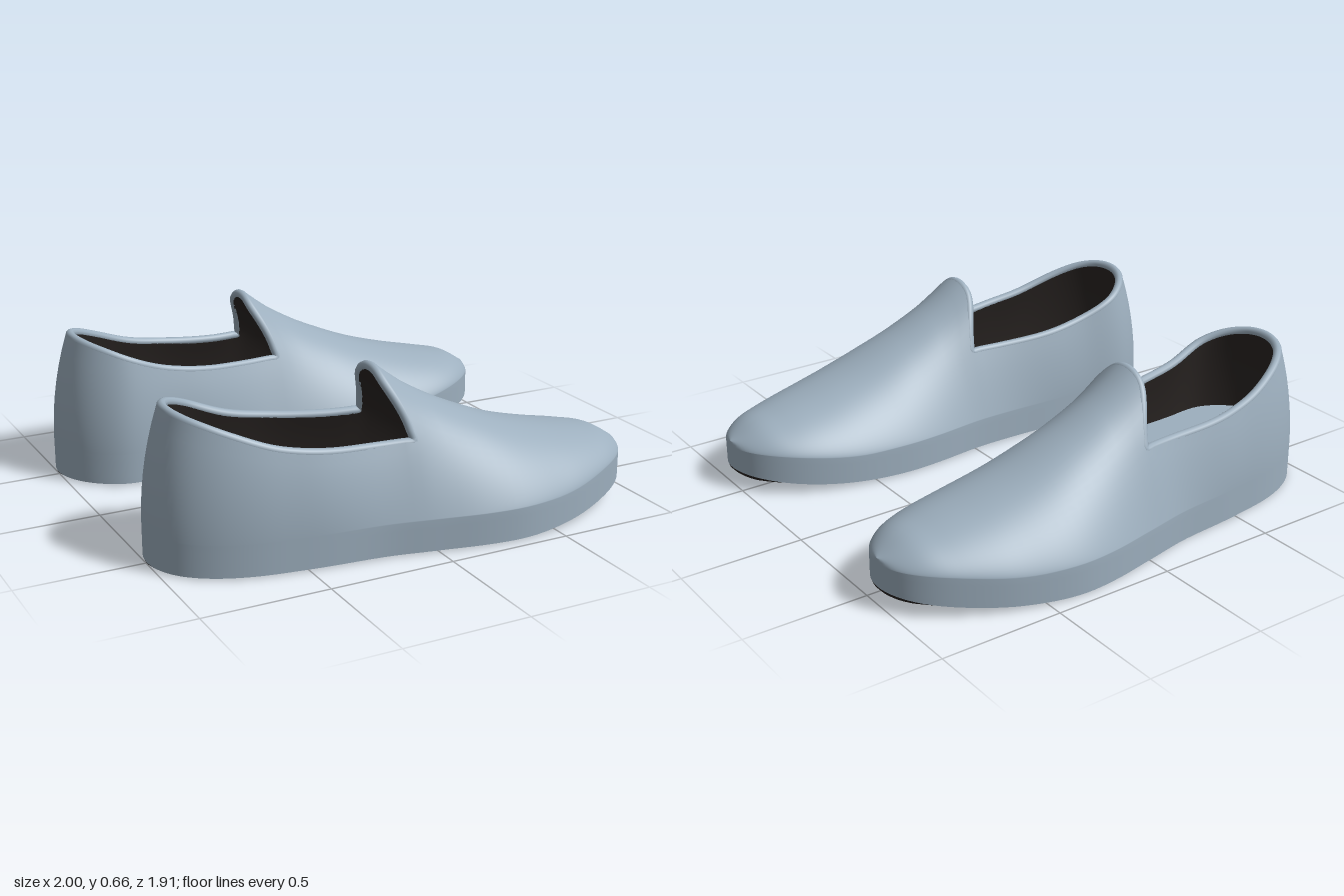
import * as THREE from 'three';

const N = 36;          // stations in the heel and in the vamp
const M = 24;          // rows from sole edge to ridge
const WALL = 4;        // rows in the vertical sole wall
const K = 14;          // row that ends at the opening
const X0 = -0.05;      // station where opening meets vamp
const THICK = 0.034;

const { lerp, smoothstep } = THREE.MathUtils;

// Smooth curve through [x, value] pairs
function curve(pts) {
  const slope = (i) => {
    const a = pts[Math.max(i - 1, 0)], b = pts[Math.min(i + 1, pts.length - 1)];
    return (b[1] - a[1]) / (b[0] - a[0]);
  };
  return (x) => {
    let i = 0;
    while (i < pts.length - 2 && x > pts[i + 1][0]) i++;
    const [xa, ya] = pts[i], [xb, yb] = pts[i + 1];
    const d = xb - xa, t = (x - xa) / d, t2 = t * t, t3 = t2 * t;
    return (2 * t3 - 3 * t2 + 1) * ya + (t3 - 2 * t2 + t) * d * slope(i)
      + (3 * t2 - 2 * t3) * yb + (t3 - t2) * d * slope(i + 1);
  };
}

// Footprint centre line, fullness, ridge height and opening height
const centre = curve([[-1, 0.51], [-0.8, 0.508], [-0.6, 0.535], [-0.2, 0.565], [0, 0.585],
  [0.35, 0.5975], [0.6, 0.5875], [0.8, 0.578], [1, 0.58]]);
const fullness = curve([[-1, 0.49], [-0.9, 0.459], [-0.8, 0.43], [-0.6, 0.356], [-0.4, 0.322],
  [-0.2, 0.306], [0, 0.32], [0.2, 0.357], [0.35, 0.382], [0.6, 0.403], [0.8, 0.4125], [1, 0.432]]);
const ridge = curve([[-0.05, 0.66], [0.03, 0.585], [0.1, 0.535], [0.2, 0.475], [0.4, 0.385],
  [0.6, 0.325], [0.8, 0.28], [0.9, 0.255], [1, 0.195]]);
const opening = curve([[-1, 0.582], [-0.9, 0.553], [-0.8, 0.52], [-0.6, 0.455], [-0.4, 0.423],
  [-0.2, 0.41], [-0.05, 0.41]]);
const halfWidth = (x) => fullness(x) * Math.sqrt(Math.max(0, 1 - x * x));
const soleEdge = (x) => 0.006 + 0.07 * Math.max(0, (x - 0.3) / 0.7) ** 2;
const wallTop = (x) => 0.13 + 0.045 * smoothstep(x, 0.5, 1);

const stations = [];
for (let i = 0; i <= N; i++) stations.push(-1 + (X0 + 1) * (1 - Math.cos((i / N) * Math.PI / 2)));
for (let i = 1; i <= N; i++) stations.push(X0 + (1 - X0) * Math.sin((i / N) * Math.PI / 2));
stations[2 * N] = 1;

// Point of the upper at station i, row j (inner edge, over the top, outer edge)
function upperPoint(i, j) {
  const side = j <= M ? -1 : 1;
  const row = j <= M ? j : 2 * M - j;
  const x = stations[i], base = wallTop(x);
  let p = 1, y, shift = 0;
  if (row <= WALL) {
    y = lerp(soleEdge(x), base, row / WALL);
  } else {
    const v = (row - WALL) / (M - WALL);
    p = row === M ? 0 : Math.cos(v * Math.PI / 2);
    const h = 1 - p ** 2.2;
    if (i < N) {
      const t = h / (1 - Math.SQRT1_2 ** 2.2);
      y = base + (opening(x) - base) * t;
      p = lerp(1 - 0.15 * t * t, p, smoothstep(x, -0.5, X0));
      shift = 0.075 * t * t * ((X0 - x) / (1 + X0)) ** 3;
    } else {
      y = base + (ridge(x) - base) * h ** lerp(1, 0.75, smoothstep(x, 0, 0.8));
      shift = -0.06 * smoothstep(v, 0.5, 0.85) * Math.max(0, 1 - (x - X0) / 0.5) ** 2;
    }
  }
  return [x + shift, y, centre(x) + side * halfWidth(x) * p];
}

function makeGeometry(positions, index) {
  const g = new THREE.BufferGeometry();
  g.setAttribute('position', new THREE.Float32BufferAttribute(positions, 3));
  g.setIndex(index);
  g.computeVertexNormals();
  return g;
}

// Strip across the footprint; rows(x) gives height and width per u in -1..1
function footStrip(xs, point, steps, up) {
  const pos = [], index = [];
  xs.forEach((x, i) => {
    for (let k = 0; k <= steps; k++) pos.push(...point(x, (2 * k) / steps - 1));
    if (i === 0) return;
    for (let k = 0; k < steps; k++) {
      const a = (i - 1) * (steps + 1) + k, b = a + 1, c = a + steps + 1, d = c + 1;
      if (up) index.push(a, b, c, b, d, c);
      else index.push(a, c, b, b, c, d);
    }
  });
  return makeGeometry(pos, index);
}

function shoeGeometries() {
  // Outer skin with shared vertices
  const pos = [], ids = new Map(), outer = [], inner = [];
  const id = (i, j) => {
    const p = upperPoint(i, j), key = p.map((n) => Math.round(n * 1e5)).join();
    if (!ids.has(key)) { ids.set(key, pos.length / 3); pos.push(...p); }
    return ids.get(key);
  };
  for (let i = 0; i < 2 * N; i++) {
    for (let j = 0; j < 2 * M; j++) {
      if (i < N && j >= K && j < 2 * M - K) continue;
      const a = id(i, j), b = id(i, j + 1), c = id(i + 1, j), d = id(i + 1, j + 1);
      for (const t of [[a, b, c], [b, d, c]]) {
        if (t[0] === t[1] || t[1] === t[2] || t[0] === t[2]) continue;
        outer.push(...t);
        if (j >= WALL - 1 && j <= 2 * M - WALL && stations[i + 1] < 0.8) inner.push(t[0], t[2], t[1]);
      }
    }
  }
  const upper = makeGeometry(pos, outer);

  // Lining: skin moved inwards
  const nrm = upper.attributes.normal.array;
  const lining = makeGeometry(pos.map((n, k) => n - THICK * nrm[k]), inner);

  // Rolled rim around the opening
  const loop = [];
  for (let i = N; i >= 0; i--) loop.push(id(i, K));
  for (let i = 1; i <= N; i++) loop.push(id(i, 2 * M - K));
  for (let j = 2 * M - K - 1; j > K; j--) loop.push(id(N, j));
  const path = loop.map((n) => new THREE.Vector3().fromArray(pos, n * 3)
    .addScaledVector(new THREE.Vector3().fromArray(nrm, n * 3), -THICK / 2));
  const rim = new THREE.TubeGeometry(new THREE.CatmullRomCurve3(path, true), 260, THICK / 2 + 0.001, 10, true);

  const insole = footStrip(stations.filter((x) => x > -0.975 && x < 0.3), (x, u) =>
    [x, 0.2, centre(x) + u * halfWidth(x) * (0.9 - 0.1 * smoothstep(x, -0.1, 0.3))], 4, true);
  const outsole = footStrip(stations, (x, u) => {
    const e = soleEdge(x), w = halfWidth(x);
    return [x, e - Math.min(1, w / 0.15) * e * 0.5 * (1 - u ** 4) - (x < 0.3 ? 0.003 * (1 - u ** 4) : 0),
      centre(x) + u * w];
  }, 12, false);
  return { upper, rim, insole, lining, outsole };
}

function mirrored(geometry) {
  const g = geometry.clone().scale(1, 1, -1);
  const a = g.index.array;
  for (let k = 0; k < a.length; k += 3) [a[k + 1], a[k + 2]] = [a[k + 2], a[k + 1]];
  return g;
}

export function createModel() {
  const blueGrey = new THREE.MeshStandardMaterial({ color: 0x9dafbe });
  blueGrey.name = 'blue grey';
  const darkBrown = new THREE.MeshStandardMaterial({ color: 0x2a2523 });
  darkBrown.name = 'dark brown';

  const model = new THREE.Group();
  model.name = 'slipOnShoes';
  const parts = shoeGeometries();
  for (const flip of [false, true]) {
    const shoe = new THREE.Group();
    shoe.name = flip ? 'backShoe' : 'frontShoe';
    for (const [name, geometry] of Object.entries(parts)) {
      const dark = name === 'lining' || name === 'outsole';
      const mesh = new THREE.Mesh(flip ? mirrored(geometry) : geometry, dark ? darkBrown : blueGrey);
      mesh.name = name;
      shoe.add(mesh);
    }
    model.add(shoe);
  }
  return model;
}
